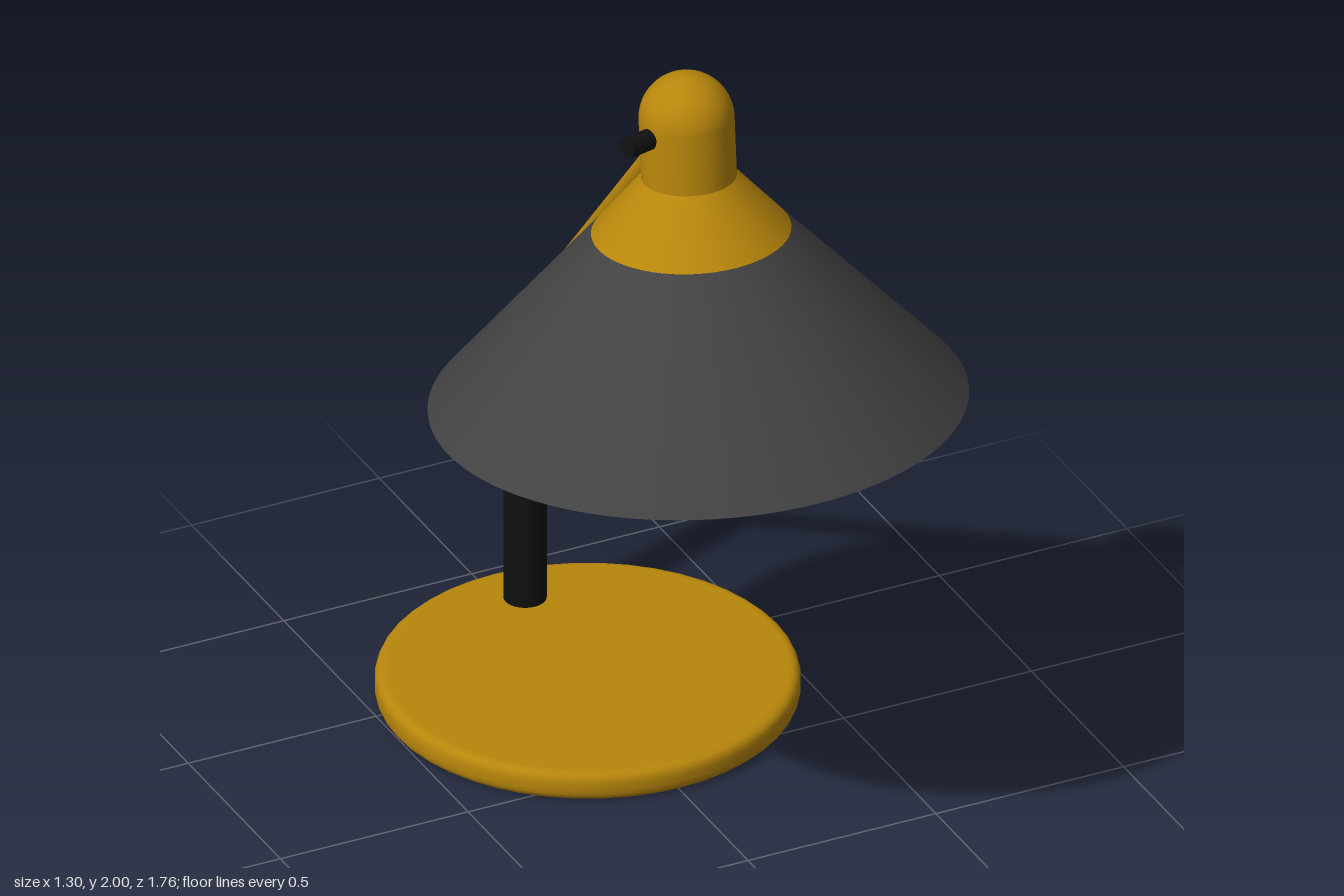
import * as THREE from 'three';

const brass = new THREE.MeshStandardMaterial({ color: 0xb8860b, side: THREE.DoubleSide });
const black = new THREE.MeshStandardMaterial({ color: 0x111111 });
const darkGrey = new THREE.MeshStandardMaterial({ color: 0x424242, side: THREE.DoubleSide });
const grey = new THREE.MeshStandardMaterial({ color: 0xcccccc });

function add(parent, name, geometry, material, x = 0, y = 0, z = 0) {
  const mesh = new THREE.Mesh(geometry, material);
  mesh.name = name;
  mesh.position.set(x, y, z);
  parent.add(mesh);
  return mesh;
}

// Solid of revolution from [radius, height] pairs, bottom to top
function lathe(points, segments = 64) {
  return new THREE.LatheGeometry(points.map(([r, y]) => new THREE.Vector2(r, y)), segments);
}

// Upright cylinder profile that ends in a round dome
function domed(radius, bottom, domeCentre, steps = 12) {
  const points = [[radius, bottom]];
  for (let i = 0; i <= steps; i++) {
    const a = (i / steps) * Math.PI / 2;
    points.push([radius * Math.cos(a), domeCentre + radius * Math.sin(a)]);
  }
  return points;
}

// Rod with rounded ends between two points
function rod(parent, name, from, to, radius, material) {
  const axis = to.clone().sub(from);
  const mesh = add(parent, name, new THREE.CapsuleGeometry(radius, axis.length(), 8, 24), material);
  mesh.position.copy(from).add(to).multiplyScalar(0.5);
  mesh.quaternion.setFromUnitVectors(new THREE.Vector3(0, 1, 0), axis.normalize());
  return mesh;
}

export function createModel() {
  const lamp = new THREE.Group();
  lamp.name = 'deskLamp';

  // Round foot with a softened edge
  const foot = new THREE.Shape();
  const R = 0.51, H = 0.075, b = 0.03;
  foot.moveTo(0, 0);
  foot.lineTo(R - b, 0);
  foot.quadraticCurveTo(R, 0, R, b);
  foot.lineTo(R, H - b);
  foot.quadraticCurveTo(R, H, R - b, H);
  foot.lineTo(0, H);
  add(lamp, 'base', new THREE.LatheGeometry(foot.getPoints(5), 48), brass, 0, 0, -0.37);

  // Post, its domed cap and the slanted arm
  add(lamp, 'post', new THREE.CylinderGeometry(0.052, 0.052, 0.69, 32), black, 0, 0.435, -0.71);
  add(lamp, 'postCap', lathe(domed(0.047, 0.775, 0.824), 32), brass, 0, 0, -0.71);
  rod(lamp, 'arm', new THREE.Vector3(0, 0.845, -0.732), new THREE.Vector3(0, 1.765, 0.055), 0.026, brass);

  // Head, tilted about the centre of the shade's rim
  const head = new THREE.Group();
  head.name = 'head';
  head.position.set(0, 1.135, 0.23);
  head.rotation.x = -0.085;
  lamp.add(head);

  add(head, 'shade', lathe([[0.648, 0], [0.24, 0.454]], 96), darkGrey);
  add(head, 'shadeCollar', lathe([[0.24, 0.454], [0.115, 0.6]]), brass);
  add(head, 'socketHousing', lathe(domed(0.115, 0.6, 0.754)), brass);
  add(head, 'bulb', new THREE.SphereGeometry(0.14, 40, 24), grey, 0, 0.285, 0);
  add(head, 'bulbNeck', new THREE.CylinderGeometry(0.065, 0.075, 0.22, 32), grey, 0, 0.5, 0);

  // Switch: thin stem and a slightly wider knob
  const knob = new THREE.Group();
  knob.name = 'switch';
  knob.position.set(0, 0.737, 0);
  knob.rotation.y = 0.25;
  head.add(knob);
  const stem = add(knob, 'switchStem', new THREE.CylinderGeometry(0.021, 0.021, 0.1, 20), black, -0.125, 0, 0);
  const tip = add(knob, 'switchTip', new THREE.CylinderGeometry(0.026, 0.026, 0.07, 20), black, -0.153, 0, 0);
  stem.rotation.z = tip.rotation.z = Math.PI / 2;

  return lamp;
}
